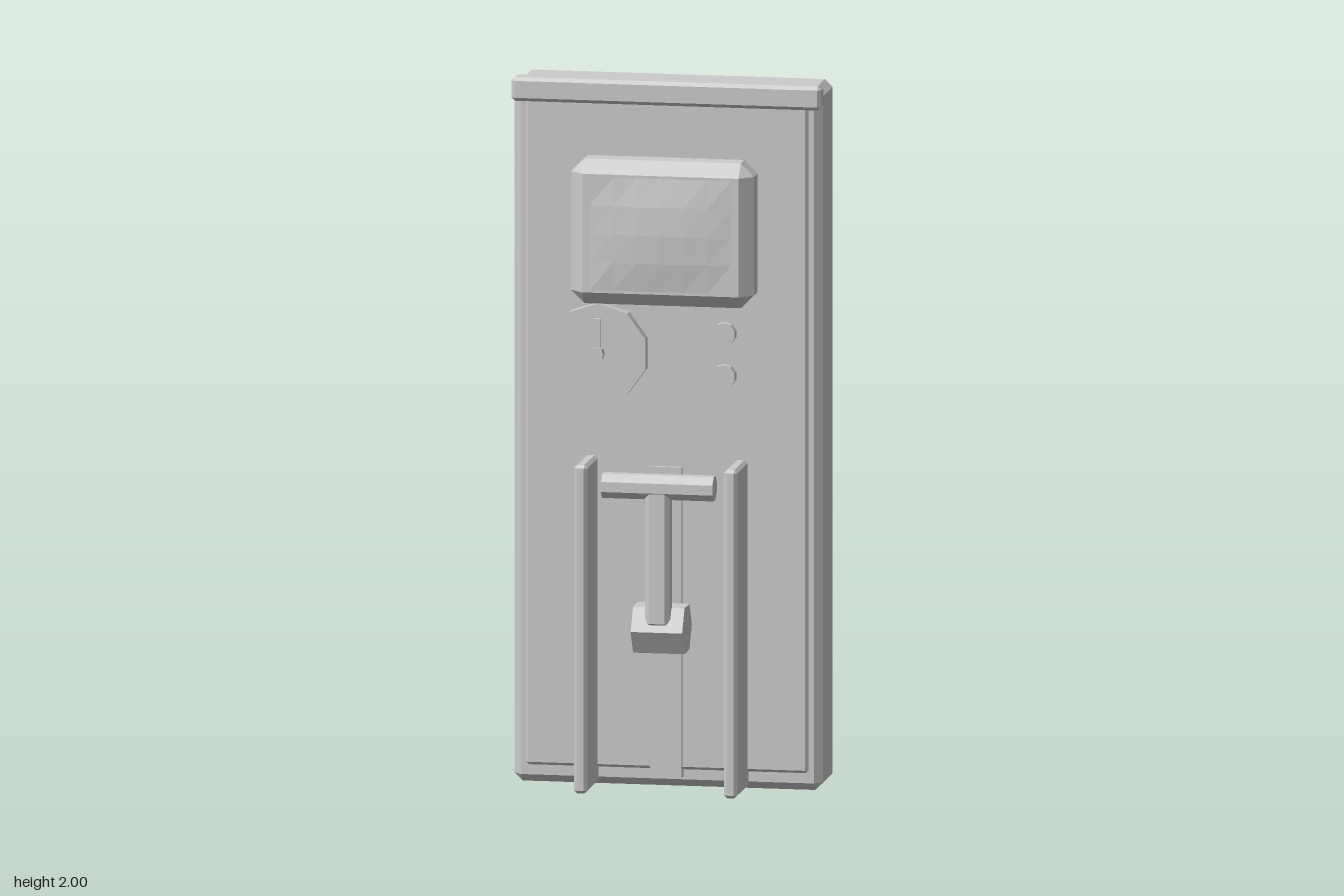
import * as THREE from 'three';
import { ConvexGeometry } from 'three/addons/geometries/ConvexGeometry.js';

const grey = new THREE.MeshStandardMaterial({ color: 0xcccccc, flatShading: true });

// Box with every edge and corner chamfered, given by its [min, max] extents
function chamferBox([x0, x1], [y0, y1], [z0, z1], c) {
  const half = [(x1 - x0) / 2, (y1 - y0) / 2, (z1 - z0) / 2];
  const points = [];
  for (let full = 0; full < 3; full++)
    for (const sx of [-1, 1]) for (const sy of [-1, 1]) for (const sz of [-1, 1]) {
      const p = [sx, sy, sz].map((s, i) => s * (half[i] - (i === full ? 0 : c)));
      points.push(new THREE.Vector3(...p));
    }
  return new ConvexGeometry(points).translate((x0 + x1) / 2, (y0 + y1) / 2, (z0 + z1) / 2);
}

// Disc facing the front, from z0 to z1
function disc(x, y, z0, z1, r, sides, turn = 0) {
  return new THREE.CylinderGeometry(r, r, z1 - z0, sides)
    .rotateY(turn).rotateX(Math.PI / 2).translate(x, y, (z0 + z1) / 2);
}

// Prism lying along x
function crossBar(y, z, r, length, sides, turn) {
  return new THREE.CylinderGeometry(r, r, length, sides)
    .rotateY(turn).rotateZ(Math.PI / 2).translate(0, y, z);
}

// Slightly bulging display glass
function glassGeometry() {
  const w = 0.4, h = 0.32;
  const g = new THREE.PlaneGeometry(w, h, 6, 4);
  const p = g.attributes.position;
  for (let i = 0; i < p.count; i++) {
    const u = p.getX(i) / (w / 2), v = p.getY(i) / (h / 2);
    p.setZ(i, 0.016 * (1 - u * u) * (1 - v * v) + 0.001);
  }
  g.computeVertexNormals();
  return g.translate(0, 1.58, 0.111);
}

export function createModel() {
  const model = new THREE.Group();
  model.name = 'wallCabinet';
  const add = (name, geometry) => {
    const mesh = new THREE.Mesh(geometry, grey);
    mesh.name = name;
    model.add(mesh);
    return mesh;
  };

  // Cabinet, front panel and overhanging top lip
  add('cabinetBody', chamferBox([-0.437, 0.437], [0, 1.988], [-0.187, 0.003], 0.022));
  add('frontPanel', chamferBox([-0.4, 0.4], [0.052, 1.95], [-0.01, 0.018], 0.008));
  add('topLip', chamferBox([-0.439, 0.439], [1.932, 2], [-0.027, 0.031], 0.01));

  // Display
  add('displayHousing', chamferBox([-0.26, 0.258], [1.375, 1.785], [-0.02, 0.112], 0.037));
  add('displayGlass', glassGeometry());

  // Dial with knob and pointer
  add('dial', disc(-0.188, 1.23, 0.01, 0.052, 0.141, 10));
  add('dialKnob', disc(-0.188, 1.23, 0.05, 0.078, 0.02, 8));
  add('dialPointer', new THREE.BoxGeometry(0.018, 0.1, 0.016).translate(-0.188, 1.28, 0.058));

  // Push buttons: narrow stem under a wider cap
  for (const y of [1.296, 1.177]) {
    add('buttonStem', disc(0.17, y, 0.01, 0.045, 0.022, 10));
    add('buttonCap', disc(0.17, y, 0.037, 0.065, 0.033, 10));
  }

  // Guard fins either side of the lever
  for (const x of [-0.214, 0.211])
    add('guardFin', chamferBox([x - 0.019, x + 0.019], [0.004, 0.935], [0, 0.185], 0.009));

  // Rail, pivot and T-handled lever
  add('rail', new THREE.BoxGeometry(0.09, 0.88, 0.04).translate(0, 0.47, 0.011));
  add('leverPivot', crossBar(0.466, 0.1, 0.075, 0.146, 6, Math.PI / 6 + Math.PI / 6));
  add('leverArm', chamferBox([-0.036, 0.036], [0.475, 0.885], [0.115, 0.168], 0.014));
  add('leverGrip', crossBar(0.873, 0.136, 0.037, 0.316, 8, Math.PI / 8));

  return model;
}
